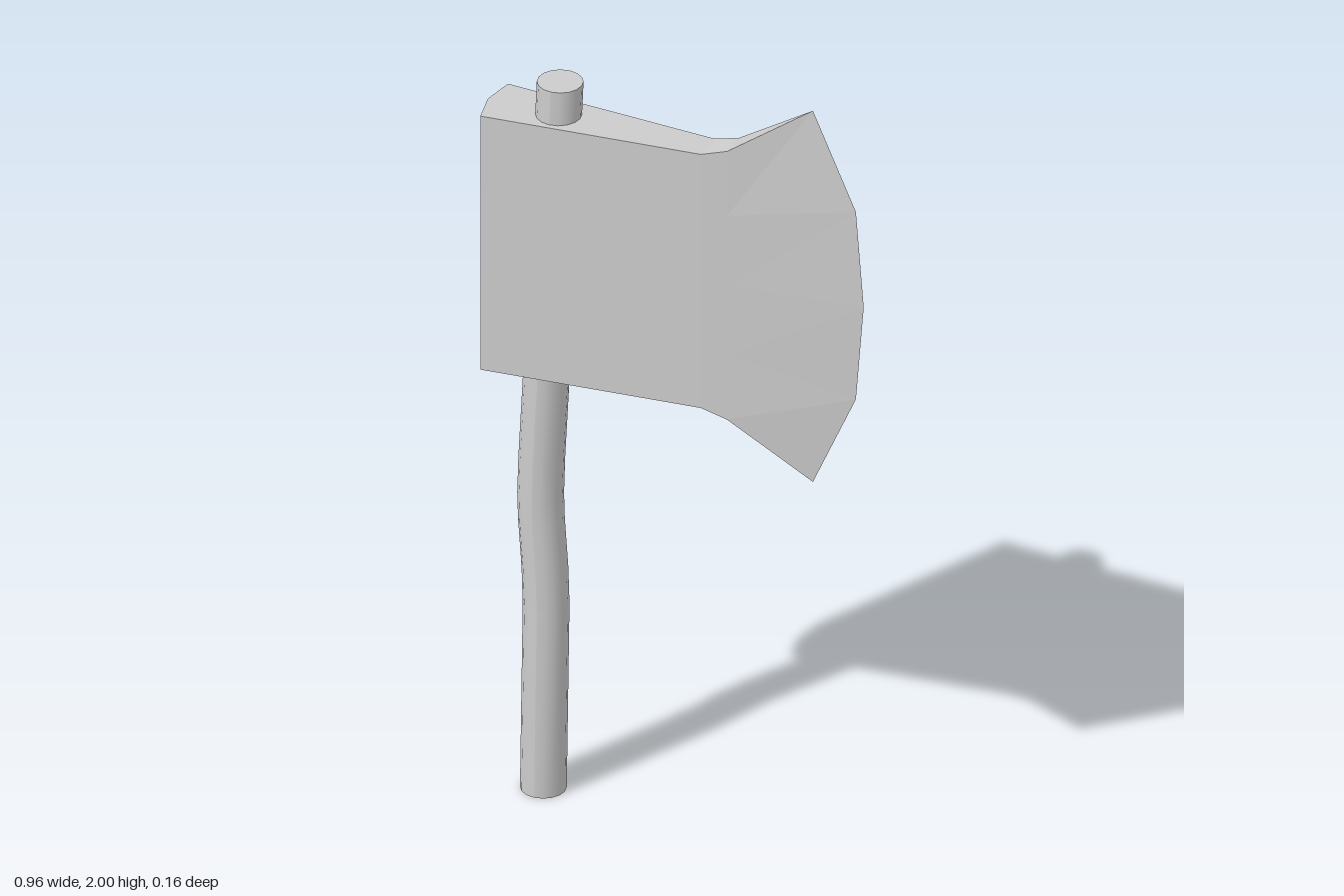
import * as THREE from 'three';

// Axe head: vertical columns from poll to cutting edge, mirrored front to back
function headGeometry() {
  const rows = [-1, -0.52, 0, 0.52, 1];
  const midY = 1.495;
  const column = (x, halfHeight, z) => rows.map(r => [x, midY + r * halfHeight, z]);
  const columns = [
    column(-0.482, 0.345, 0),
    column(-0.466, 0.345, 0.082),
    column(0.08, 0.345, 0.04),
    column(0.145, 0.365, 0.034),
    // curved cutting edge
    [[0.35, 0.99, 0], [0.46, 1.24, 0], [0.48, 1.495, 0], [0.46, 1.75, 0], [0.35, 2, 0]],
  ];
  const pos = [];
  const back = ([x, y, z]) => [x, y, -z];
  const tri = (a, b, c) => pos.push(...a, ...b, ...c);
  const quad = (a, b, c, d) => { tri(a, b, c); tri(a, c, d); };
  const top = rows.length - 1;
  for (let i = 0; i < columns.length - 1; i++) {
    const p = columns[i], q = columns[i + 1];
    // cheeks
    for (let j = 0; j < top; j++) {
      quad(p[j], q[j], q[j + 1], p[j + 1]);
      quad(back(p[j + 1]), back(q[j + 1]), back(q[j]), back(p[j]));
    }
    // top and bottom faces, closing to a point at either end
    const strip = (a, b, c, d) => {
      if (a[2] !== d[2]) tri(a, c, d);
      if (b[2] !== c[2]) tri(a, b, c);
    };
    strip(p[top], q[top], back(q[top]), back(p[top]));
    strip(back(p[0]), back(q[0]), q[0], p[0]);
  }
  const geometry = new THREE.BufferGeometry();
  geometry.setAttribute('position', new THREE.Float32BufferAttribute(pos, 3));
  geometry.computeVertexNormals();
  return geometry;
}

// Handle: cylinder whose rings follow a gently bent centre line
function handleGeometry() {
  const stations = [[-0.34, 0], [-0.333, 0.5], [-0.336, 0.6], [-0.345, 0.73],
    [-0.347, 0.8], [-0.344, 0.9], [-0.331, 1.15], [-0.297, 1.93]];
  const sides = 16;
  const geometry = new THREE.CylinderGeometry(0.055, 0.055, 1, sides, stations.length - 1);
  const pos = geometry.attributes.position;
  for (let i = 0; i < pos.count; i++) {
    const [x, y] = stations[Math.round((pos.getY(i) + 0.5) * (stations.length - 1))];
    pos.setX(i, pos.getX(i) + x);
    pos.setY(i, y);
  }
  geometry.computeVertexNormals();
  return geometry;
}

export function createModel() {
  const group = new THREE.Group();
  group.name = 'axe';
  const add = (name, geometry, flatShading) => {
    const mesh = new THREE.Mesh(geometry,
      new THREE.MeshStandardMaterial({ color: 0xcccccc, flatShading }));
    mesh.name = name;
    group.add(mesh);
  };
  add('axeHead', headGeometry(), true);
  add('handle', handleGeometry(), false);
  return group;
}
